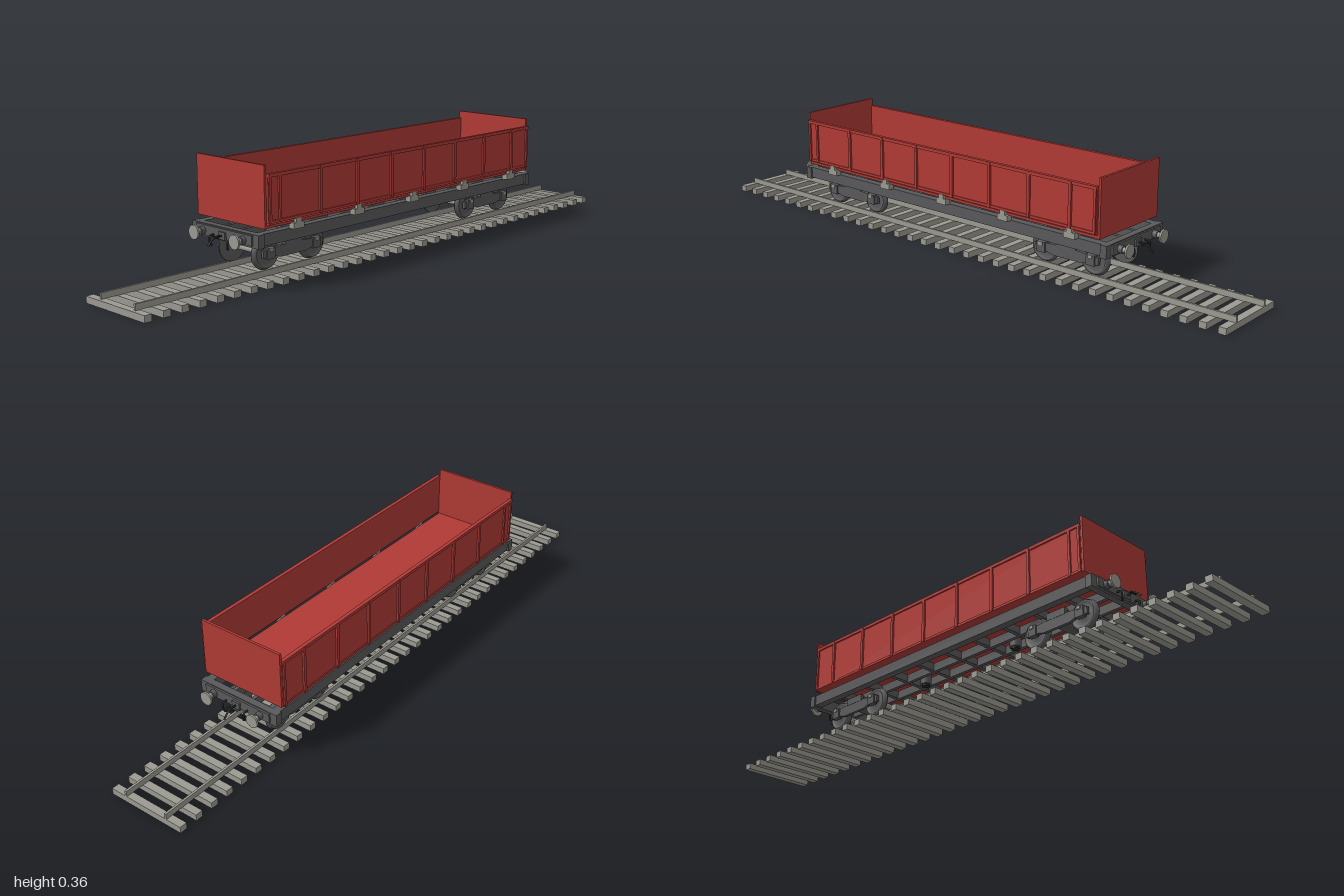
import * as THREE from 'three';

const mat = (name, color) => {
  const m = new THREE.MeshStandardMaterial({ color });
  m.name = name;
  return m;
};

export function createModel() {
  const red = mat('wagon red', 0xb03a35);
  const dark = mat('frame grey', 0x5a5a5c);
  const light = mat('light grey', 0x9b9a92);
  const black = mat('black', 0x262628);

  const model = new THREE.Group();
  model.name = 'tippingWagonOnTrack';

  const group = (name, parent = model) => {
    const g = new THREE.Group();
    g.name = name;
    parent.add(g);
    return g;
  };
  const add = (parent, name, geo, material, x = 0, y = 0, z = 0) => {
    const m = new THREE.Mesh(geo, material);
    m.name = name;
    m.position.set(x, y, z);
    parent.add(m);
    return m;
  };
  // box given by its limits on each axis
  const box = (parent, name, material, x0, x1, y0, y1, z0, z1) =>
    add(parent, name, new THREE.BoxGeometry(x1 - x0, y1 - y0, z1 - z0), material,
      (x0 + x1) / 2, (y0 + y1) / 2, (z0 + z1) / 2);
  // cylinder along x, y or z
  const rod = (parent, name, material, r, length, axis, x, y, z, sides = 24) => {
    const geo = new THREE.CylinderGeometry(r, r, length, sides);
    if (axis === 'x') geo.rotateZ(-Math.PI / 2);
    if (axis === 'z') geo.rotateX(Math.PI / 2);
    return add(parent, name, geo, material, x, y, z);
  };
  const tube = (parent, name, material, points, r) =>
    add(parent, name, new THREE.TubeGeometry(new THREE.CatmullRomCurve3(
      points.map(p => new THREE.Vector3(...p))), 12, r, 6), material);

  // Track
  const track = group('track');
  track.position.z = -0.002;
  for (let i = 0; i < 34; i++) {
    const x = -0.988 + i * 1.976 / 33;
    box(track, 'sleeper', light, x - 0.012, x + 0.012, 0, 0.02, -0.129, 0.129);
  }
  for (const s of [-1, 1]) {
    const z = s * 0.075;
    box(track, 'rail', light, -0.99, 1, 0.02, 0.038, z - 0.0035, z + 0.0035);
  }

  const wagon = group('wagon');
  wagon.position.z = -0.003;

  // Open body: floor, tall ends, ribbed sides
  const body = group('body', wagon);
  box(body, 'floor', red, -0.594, 0.594, 0.178, 0.186, -0.143, 0.143);
  for (const s of [-1, 1]) {
    const x = s * 0.595;
    box(body, 'endWall', red, x - 0.004, x + 0.004, 0.177, 0.356, -0.144, 0.144);
  }
  const sides = [
    { s: 1, inner: 0.144, bottom: 0.192 },
    { s: -1, inner: 0.138, bottom: 0.178 },
  ];
  for (const { s, inner, bottom } of sides) {
    const side = group(s > 0 ? 'hingedSide' : 'fixedSide', body);
    const slab = (name, x0, x1, y0, y1, a, b) =>
      box(side, name, red, x0, x1, y0, y1, Math.min(s * a, s * b), Math.max(s * a, s * b));
    slab('sideWall', -0.592, 0.592, bottom, 0.332, inner, inner + 0.007);
    slab('topRail', -0.592, 0.592, 0.322, 0.332, inner, inner + 0.012);
    slab('bottomRail', -0.592, 0.592, bottom, bottom + 0.008, inner, inner + 0.01);
    for (let i = 0; i < 7; i++) {
      const x = -0.393 + i * 0.149;
      slab('rib', x - 0.005, x + 0.005, bottom, 0.33, inner, inner + 0.013);
    }
    for (const x of [-0.586, -0.55, 0.586])
      slab('cornerRib', x - 0.004, x + 0.004, bottom, 0.33, inner, inner + 0.012);
  }

  // Hinges and slanted stops carrying the body
  for (let i = 0; i < 5; i++) {
    const x = -0.48 + i * 0.245;
    const hinge = group('hinge', wagon);
    box(hinge, 'hingeFoot', light, x - 0.02, x + 0.02, 0.162, 0.18, 0.134, 0.155);
    box(hinge, 'hingeArm', light, x - 0.01, x + 0.01, 0.178, 0.193, 0.144, 0.155);
    const stop = box(wagon, 'tippingStop', light, x - 0.01, x + 0.01, 0.159, 0.181, -0.082, -0.068);
    stop.rotation.x = -0.45;
  }

  // Underframe
  const frame = group('underframe', wagon);
  for (const s of [-1, 1]) {
    const z = s * 0.125;
    box(frame, 'solebar', dark, -0.605, 0.605, 0.128, 0.163, z - 0.013, z + 0.013);
    box(frame, 'centreBeam', dark, -0.6, 0.6, 0.132, 0.16, s * 0.035 - 0.006, s * 0.035 + 0.006);
  }
  for (let i = 0; i < 9; i++) {
    const x = -0.5 + i * 0.125;
    box(frame, 'crossMember', dark, x - 0.007, x + 0.007, 0.135, 0.16, -0.12, 0.12);
  }
  for (const x of [-0.2, 0.2]) {
    rod(frame, 'tippingCylinder', dark, 0.018, 0.04, 'y', x, 0.143, 0);
    rod(frame, 'cylinderBase', black, 0.013, 0.008, 'y', x, 0.121, 0);
    rod(frame, 'tippingPiston', light, 0.008, 0.02, 'y', x, 0.17, 0);
  }

  // Wagon ends: headstock, buffers, hook, hoses
  for (const s of [-1, 1]) {
    const end = group('wagonEnd', wagon);
    end.rotation.y = s > 0 ? 0 : Math.PI;
    box(end, 'headstock', dark, 0.6, 0.622, 0.124, 0.163, -0.143, 0.143);
    box(end, 'bufferPlate', dark, 0.622, 0.628, 0.13, 0.16, -0.12, 0.12);
    for (const t of [-1, 1]) {
      const z = t * 0.087;
      rod(end, 'bufferSleeve', dark, 0.012, 0.016, 'x', 0.634, 0.143, z);
      rod(end, 'bufferStem', light, 0.008, 0.02, 'x', 0.65, 0.143, z);
      rod(end, 'bufferHead', light, 0.021, 0.006, 'x', 0.661, 0.143, z);
      tube(end, 'brakeHose', black,
        [[0.625, 0.138, t * 0.04], [0.643, 0.136, t * 0.04], [0.645, 0.118, t * 0.038], [0.64, 0.108, t * 0.034]], 0.003);
    }
    box(end, 'hookPlate', dark, 0.626, 0.634, 0.13, 0.152, -0.014, 0.014);
    tube(end, 'hook', black, [[0.63, 0.141, 0], [0.655, 0.142, 0], [0.67, 0.134, 0], [0.683, 0.12, 0]], 0.003);
    box(end, 'hookPin', black, 0.652, 0.657, 0.139, 0.143, -0.013, 0.013);
  }

  // Bogies
  // wheel profile: hub, web, tread and inner flange
  const wheelProfile = [[0, -0.006], [0.049, -0.006], [0.05, -0.003], [0.046, -0.001],
    [0.045, 0.007], [0.038, 0.007], [0.036, 0.003], [0.015, 0.003], [0.013, 0.009], [0, 0.009]]
    .map(p => new THREE.Vector2(...p));
  const wheelGeo = new THREE.LatheGeometry(wheelProfile, 32);
  wheelGeo.rotateX(Math.PI / 2);

  // side frame with a dropped middle
  const frameShape = new THREE.Shape([[-0.115, 0.078], [-0.07, 0.078], [-0.05, 0.072], [0.05, 0.072],
    [0.07, 0.078], [0.115, 0.078], [0.115, 0.1], [0.045, 0.106], [-0.045, 0.106], [-0.115, 0.1]]
    .map(p => new THREE.Vector2(...p)));
  const frameGeo = new THREE.ExtrudeGeometry(frameShape, { depth: 0.01, bevelEnabled: false });
  frameGeo.translate(0, 0, -0.005);

  for (const bx of [-0.447, 0.447]) {
    const bogie = group('bogie', wagon);
    bogie.position.x = bx;
    box(bogie, 'bolster', dark, -0.03, 0.03, 0.094, 0.124, -0.094, 0.094);
    rod(bogie, 'pivot', dark, 0.02, 0.022, 'y', 0, 0.132, 0);
    for (const s of [-1, 1]) {
      add(bogie, 'sideFrame', frameGeo, dark, 0, 0, s * 0.09);
      box(bogie, 'springBlock', dark, -0.035, 0.035, 0.104, 0.126, s * 0.09 - 0.006, s * 0.09 + 0.006);
    }
    for (const wx of [-0.0895, 0.0895]) {
      rod(bogie, 'axle', light, 0.009, 0.17, 'z', wx, 0.087, 0, 16);
      for (const s of [-1, 1]) {
        const wheel = add(bogie, 'wheel', wheelGeo, dark, wx, 0.087, s * 0.073);
        wheel.rotation.y = s > 0 ? 0 : Math.PI;
        box(bogie, 'axleBox', dark, wx - 0.015, wx + 0.015, 0.074, 0.106, s * 0.092 - 0.008, s * 0.092 + 0.008);
        box(bogie, 'axleBoxCover', light, wx - 0.007, wx + 0.007, 0.096, 0.106, s * 0.1 - 0.003, s * 0.1 + 0.003);
      }
    }
  }

  return model;
}
